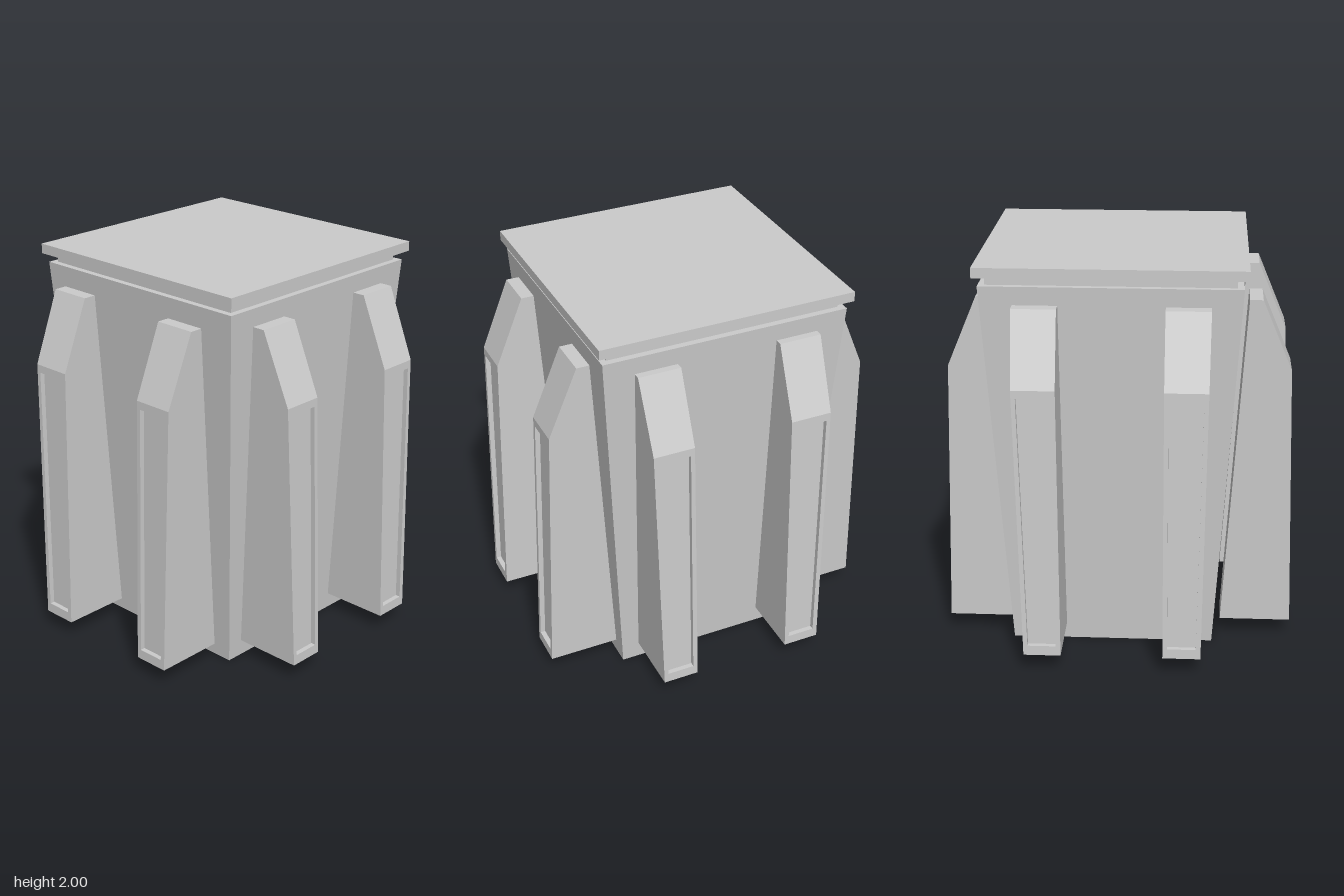
import * as THREE from 'three';

const material = new THREE.MeshStandardMaterial({ color: 0xcccccc, flatShading: true });
const lerp = THREE.MathUtils.lerp;

// Square block with different half widths at its bottom and top
function taperedBlock(name, halfBottom, halfTop, y0, y1) {
  const geo = new THREE.BoxGeometry(2, y1 - y0, 2);
  geo.translate(0, (y0 + y1) / 2, 0);
  const p = geo.attributes.position;
  for (let i = 0; i < p.count; i++) {
    const h = p.getY(i) > (y0 + y1) / 2 ? halfTop : halfBottom;
    p.setX(i, p.getX(i) * h);
    p.setZ(i, p.getZ(i) * h);
  }
  geo.computeVertexNormals();
  const mesh = new THREE.Mesh(geo, material);
  mesh.name = name;
  return mesh;
}

// Leaning buttress with a recessed panel in its outer face; bottom and top are [xMin, xMax]
function buttressGeometry(bottom, top) {
  const Y0 = 0.09, SHOULDER = 1.46, Y1 = 1.815, DEPTH = 0.025;
  const pos = [];
  const quad = (a, b, c, d) => pos.push(...a, ...b, ...c, ...a, ...c, ...d);
  // u runs 0..1 across the width, z is the distance outward
  const pt = (u, y, z) => {
    const t = (y - Y0) / (Y1 - Y0);
    return [lerp(lerp(bottom[0], top[0], t), lerp(bottom[1], top[1], t), u), y, z];
  };
  const outerZ = (y) => lerp(0.88, 0.843, (y - Y0) / (SHOULDER - Y0));
  const face = (u, y, inset = 0) => pt(u, y, outerZ(y) - inset);

  // Side profile: outer bottom, shoulder, top, inner top, inner bottom
  const profile = [[Y0, 0.88], [SHOULDER, 0.843], [Y1, 0.695], [Y1, 0.63], [Y0, 0.52]];
  for (let i = 1; i < profile.length; i++) {
    const [ya, za] = profile[i], [yb, zb] = profile[(i + 1) % profile.length];
    quad(pt(0, ya, za), pt(1, ya, za), pt(1, yb, zb), pt(0, yb, zb));
  }
  for (let i = 1; i < profile.length - 1; i++) {
    const tri = [profile[0], profile[i], profile[i + 1]];
    for (const [y, z] of tri) pos.push(...pt(0, y, z));
    for (const [y, z] of tri.reverse()) pos.push(...pt(1, y, z));
  }

  // Rim, recess walls and recess floor
  const rim = [[0, Y0], [1, Y0], [1, SHOULDER], [0, SHOULDER]];
  const hole = [[0.12, 0.14], [0.87, 0.14], [0.9, 1.42], [0.1, 1.42]];
  for (let i = 0; i < 4; i++) {
    const j = (i + 1) % 4;
    quad(face(...rim[i]), face(...rim[j]), face(...hole[j]), face(...hole[i]));
    quad(face(...hole[i]), face(...hole[j]), face(...hole[j], DEPTH), face(...hole[i], DEPTH));
  }
  quad(...hole.map((h) => face(...h, DEPTH)));

  const geo = new THREE.BufferGeometry();
  geo.setAttribute('position', new THREE.Float32BufferAttribute(pos, 3));
  geo.computeVertexNormals();
  return geo;
}

export function createModel() {
  const model = new THREE.Group();
  model.name = 'buttressedPedestal';

  // Tapered core, recessed neck and flat cap
  const core = new THREE.Group();
  core.name = 'core';
  core.position.x = 0.032;
  core.add(
    taperedBlock('body', 0.51, 0.632, 0, 1.905),
    taperedBlock('neck', 0.6, 0.6, 1.905, 1.95),
    taperedBlock('cap', 0.656, 0.656, 1.95, 2)
  );
  model.add(core);

  // A pair of buttresses on each of the four sides
  const leftFin = buttressGeometry([-0.427, -0.242], [-0.474, -0.257]);
  const rightFin = buttressGeometry([0.262, 0.45], [0.257, 0.474]);
  ['front', 'right', 'back', 'left'].forEach((side, k) => {
    const pair = new THREE.Group();
    pair.name = side + 'Buttresses';
    for (const geo of [leftFin, rightFin]) {
      const fin = new THREE.Mesh(geo, material);
      fin.name = 'buttress';
      pair.add(fin);
    }
    pair.rotation.y = k * Math.PI / 2;
    if (k % 2 === 0) pair.position.x = 0.026;
    else pair.position.z = -0.003;
    model.add(pair);
  });
  return model;
}
